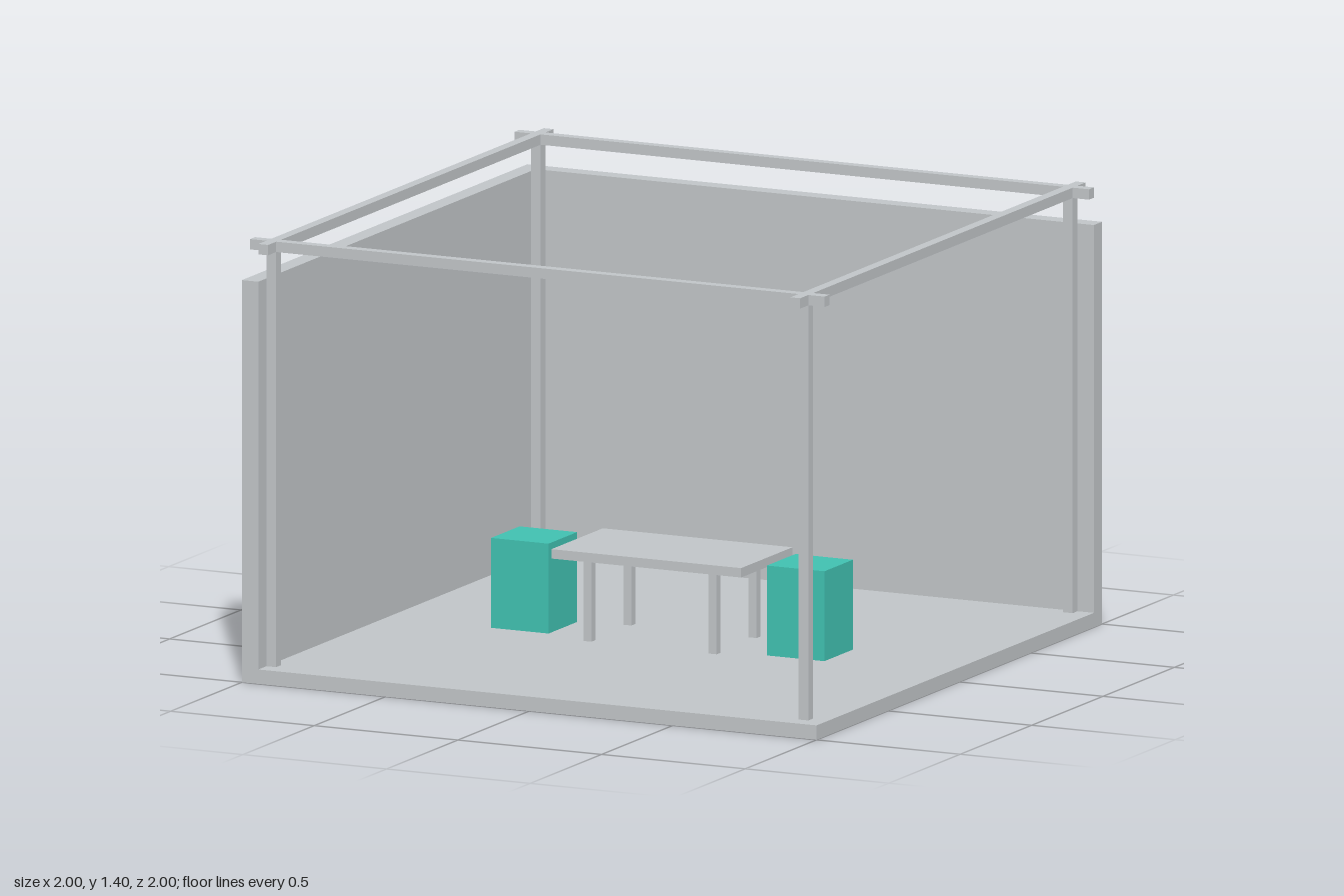
import * as THREE from 'three';

export function createModel() {
  const model = new THREE.Group();
  model.name = 'exhibitionBooth';

  const grey = new THREE.MeshStandardMaterial({ color: 0xc0c4c7 });
  grey.name = 'light grey';
  const teal = new THREE.MeshStandardMaterial({ color: 0x40c0b0 });
  teal.name = 'teal';

  // Box given by its extents along each axis
  function box(name, material, [x0, x1], [y0, y1], [z0, z1], parent = model) {
    const mesh = new THREE.Mesh(new THREE.BoxGeometry(x1 - x0, y1 - y0, z1 - z0), material);
    mesh.position.set((x0 + x1) / 2, (y0 + y1) / 2, (z0 + z1) / 2);
    mesh.name = name;
    parent.add(mesh);
  }
  const around = (centre, size) => [centre - size / 2, centre + size / 2];

  const floorTop = 0.046;
  const wallTop = 1.28;
  const inner = -0.943; // inner face of the walls

  // Floor slab and the two walls
  box('floor', grey, [-1, 1], [0, floorTop], [-1, 1]);
  box('sideWall', grey, [-1, inner], [floorTop, wallTop], [-1, 1]);
  box('backWall', grey, [inner, 1], [floorTop, wallTop], [-1, inner]);

  // Frame: four posts and four crossing beams that overhang the corners
  const frame = new THREE.Group();
  frame.name = 'frame';
  model.add(frame);
  const bar = 0.034;
  const offset = 0.926;
  const beamY = [1.367, 1.4];
  for (const s of [-1, 1]) {
    box('beamAlongX', grey, [-1, 1], beamY, around(s * offset, bar), frame);
    box('beamAlongZ', grey, around(s * offset, bar), beamY, [-1, 1], frame);
    for (const t of [-1, 1]) {
      box('post', grey, around(s * offset, bar), [floorTop, beamY[0]], around(t * offset, bar), frame);
    }
  }

  // Table with four square legs
  const table = new THREE.Group();
  table.name = 'table';
  model.add(table);
  box('tableTop', grey, [-0.33, 0.33], [0.304, 0.334], [-0.18, 0.18], table);
  for (const s of [-1, 1]) {
    for (const t of [-1, 1]) {
      box('tableLeg', grey, around(s * 0.218, 0.028), [floorTop, 0.304], around(t * 0.14, 0.028), table);
    }
  }

  // Block stools at both ends of the table
  for (const s of [-1, 1]) {
    box('stool', teal, around(s * 0.48, 0.2), [floorTop, 0.332], [-0.1, 0.1]);
  }

  return model;
}
